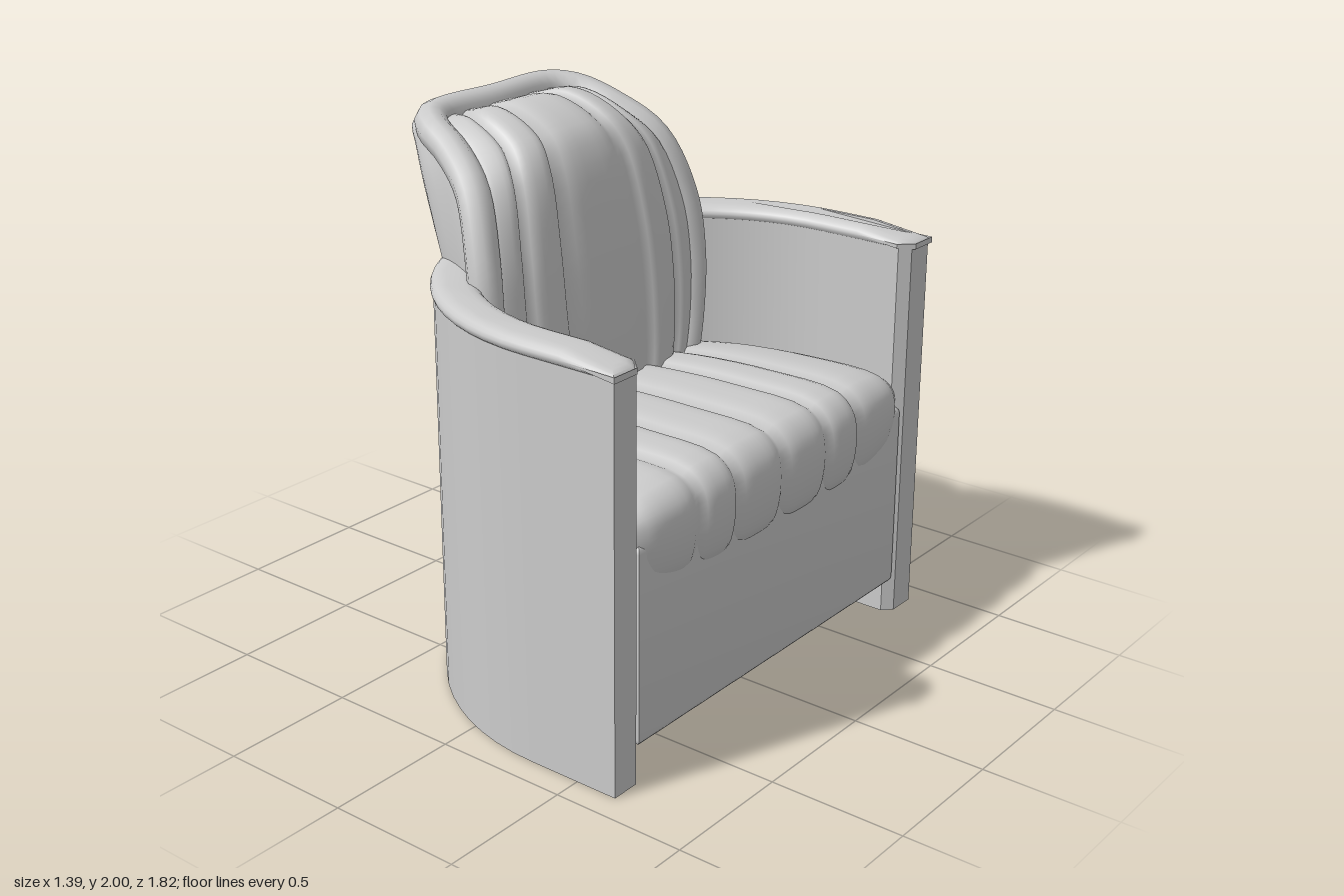
import * as THREE from 'three';
import { toCreasedNormals } from 'three/addons/utils/BufferGeometryUtils.js';

const V = (x, y, z = 0) => new THREE.Vector3(x, y, z);
const material = new THREE.MeshStandardMaterial({ color: 0xcccccc, side: THREE.DoubleSide });
const CX = 0.3; // centre of the rounded back in plan

function add(group, name, geometry) {
  const mesh = new THREE.Mesh(geometry, material);
  mesh.name = name;
  group.add(mesh);
}

// Smooth surface over a list of u values and nv + 1 steps of v
function gridSurface(us, nv, point) {
  const pos = [], index = [], n = us.length;
  for (let j = 0; j <= nv; j++) {
    for (const u of us) pos.push(...point(u, j / nv).toArray());
  }
  for (let j = 0; j < nv; j++) {
    for (let i = 0; i < n - 1; i++) {
      const a = j * n + i, b = a + 1, c = a + n, d = c + 1;
      index.push(a, c, b, b, c, d);
    }
  }
  const g = new THREE.BufferGeometry();
  g.setAttribute('position', new THREE.Float32BufferAttribute(pos, 3));
  g.setIndex(index);
  g.computeVertexNormals();
  return g;
}

// Channelled cushion: a middle profile blends into an edge profile, with grooves at given u
function channelCushion(middle, edge, grooves, depth, nv) {
  const mid = new THREE.CatmullRomCurve3(middle), side = new THREE.CatmullRomCurve3(edge);
  const bounds = [-1, ...grooves, 1], us = [], dips = new Map(), steps = 8;
  for (let k = 0; k < bounds.length - 1; k++) {
    for (let s = k ? 1 : 0; s <= steps; s++) {
      const u = THREE.MathUtils.lerp(bounds[k], bounds[k + 1], s / steps);
      us.push(u);
      dips.set(u, depth * Math.abs(2 * s / steps - 1) ** 4);
    }
  }
  return gridSurface(us, nv, (u, v) => {
    const e = side.getPoint(v), t = mid.getTangent(v);
    const p = mid.getPoint(v).lerp(e, Math.abs(u) ** 4);
    const dip = dips.get(u);
    return V(p.x - t.y * dip, p.y + t.x * dip, u * e.z);
  });
}

// Upright extrusion of a plan shape, starting at y
function extrudeUp(shape, y, options) {
  const g = new THREE.ExtrudeGeometry(shape, { curveSegments: 16, bevelEnabled: false, ...options });
  g.rotateX(-Math.PI / 2).translate(0, y, 0);
  return toCreasedNormals(g, 0.65);
}

// U-shaped plan open to the front, with chamfered inner arm ends
function wallPlan(outer, inner, front, chamfer) {
  const s = new THREE.Shape();
  s.moveTo(front, outer);
  s.lineTo(0.45, outer);
  s.absarc(CX, 0, outer, Math.PI / 2, Math.PI * 1.5, false);
  s.lineTo(0.45, -outer);
  s.lineTo(front, -outer);
  s.lineTo(front, -inner - chamfer);
  s.lineTo(front - chamfer, -inner);
  s.lineTo(0.45, -inner);
  s.absarc(CX, 0, inner, Math.PI * 1.5, Math.PI / 2, true);
  s.lineTo(0.45, inner);
  s.lineTo(front - chamfer, inner);
  s.lineTo(front, inner + chamfer);
  s.closePath();
  return s;
}

export function createModel() {
  const chair = new THREE.Group();
  chair.name = 'armchair';

  // Wrap-around wall forming arms and back
  add(chair, 'wall', extrudeUp(wallPlan(0.9, 0.755, 0.66, 0.035), 0, { depth: 1.46 }));

  // Rounded rail on top, dipping slightly at the arm ends
  const rail = extrudeUp(wallPlan(0.86, 0.8, 0.62, 0.02), 1.465, {
    depth: 0.005, bevelEnabled: true, bevelSize: 0.05, bevelThickness: 0.03, bevelSegments: 4,
  });
  const rp = rail.attributes.position;
  for (let i = 0; i < rp.count; i++) {
    const dip = Math.max(0, rp.getX(i) - 0.45) * 0.12;
    if (rp.getY(i) > 1.467) rp.setY(i, rp.getY(i) - dip);
  }
  add(chair, 'topRail', toCreasedNormals(rail, 0.65));

  // Seat base filling the inside of the wall
  const plan = new THREE.Shape();
  plan.moveTo(0.62, -0.735);
  plan.lineTo(0.62, 0.735);
  plan.lineTo(CX, 0.735);
  plan.absarc(CX, 0, 0.735, Math.PI / 2, Math.PI * 1.5, false);
  plan.closePath();
  add(chair, 'seatBase', extrudeUp(plan, 0.15, {
    depth: 0.67, bevelEnabled: true, bevelSize: 0.035, bevelThickness: 0.03, bevelSegments: 4,
  }));

  // Seat cushion rolling over the front edge
  add(chair, 'seatCushion', channelCushion(
    [V(0.635, 0.63), V(0.675, 0.7), V(0.692, 0.85), V(0.67, 0.94), V(0.6, 1.0), V(0.3, 1.015), V(0, 1.01), V(-0.25, 1)],
    [V(0.635, 0.7, 0.765), V(0.655, 0.78, 0.765), V(0.662, 0.86, 0.765), V(0.645, 0.925, 0.76),
      V(0.58, 0.965, 0.76), V(0.3, 0.97, 0.76), V(0, 0.96, 0.72), V(-0.25, 0.95, 0.6)],
    [-0.61, -0.35, 0, 0.35, 0.61], 0.025, 28));

  // Backrest border line, bottom to top, on the left
  const border = [V(-0.14, 0.95, 0.5), V(-0.15, 1.1, 0.54), V(-0.16, 1.32, 0.56), V(-0.19, 1.55, 0.545),
    V(-0.28, 1.77, 0.49), V(-0.42, 1.87, 0.43), V(-0.56, 1.925, 0.38), V(-0.63, 1.94, 0.3)];
  const mirrored = border.map((p) => V(p.x, p.y, -p.z)).reverse();
  const path = new THREE.CatmullRomCurve3([...border, V(-0.635, 1.94, 0), ...mirrored]);
  add(chair, 'backrestBorder', new THREE.TubeGeometry(path, 72, 0.06, 10));

  // Backrest rear skin, spanning from one border side to the other
  const sides = new THREE.CatmullRomCurve3(border);
  const rear = new THREE.CatmullRomCurve3([V(-0.44, 0.95, 0.36), V(-0.45, 1.1, 0.38), V(-0.47, 1.32, 0.4),
    V(-0.53, 1.55, 0.41), V(-0.6, 1.75, 0.4), V(-0.645, 1.85, 0.38), V(-0.68, 1.92, 0.36), V(-0.69, 1.95, 0.3)]);
  const us = Array.from({ length: 33 }, (_, i) => i / 32);
  add(chair, 'backrestRear', gridSurface(us, 20, (u, v) => {
    const w = sides.getPoint(v), r = rear.getPoint(v);
    w.z += 0.05 * (1 - v);
    const half = [w, w.clone().lerp(r, 0.55), r, V(r.x, r.y, r.z * 0.5)];
    const back = half.map((p) => V(p.x, p.y, -p.z)).reverse();
    return new THREE.CatmullRomCurve3([...half, ...back]).getPoint(u);
  }));

  // Channelled backrest cushion
  add(chair, 'backrestCushion', channelCushion(
    [V(-0.045, 0.95), V(-0.055, 1.1), V(-0.075, 1.32), V(-0.105, 1.55), V(-0.165, 1.8),
      V(-0.24, 1.91), V(-0.43, 1.985), V(-0.58, 1.95)],
    border.map((p) => V(p.x + 0.02, p.y, p.z)),
    [-0.72, -0.38, 0.38, 0.72], 0.03, 32));

  return chair;
}
